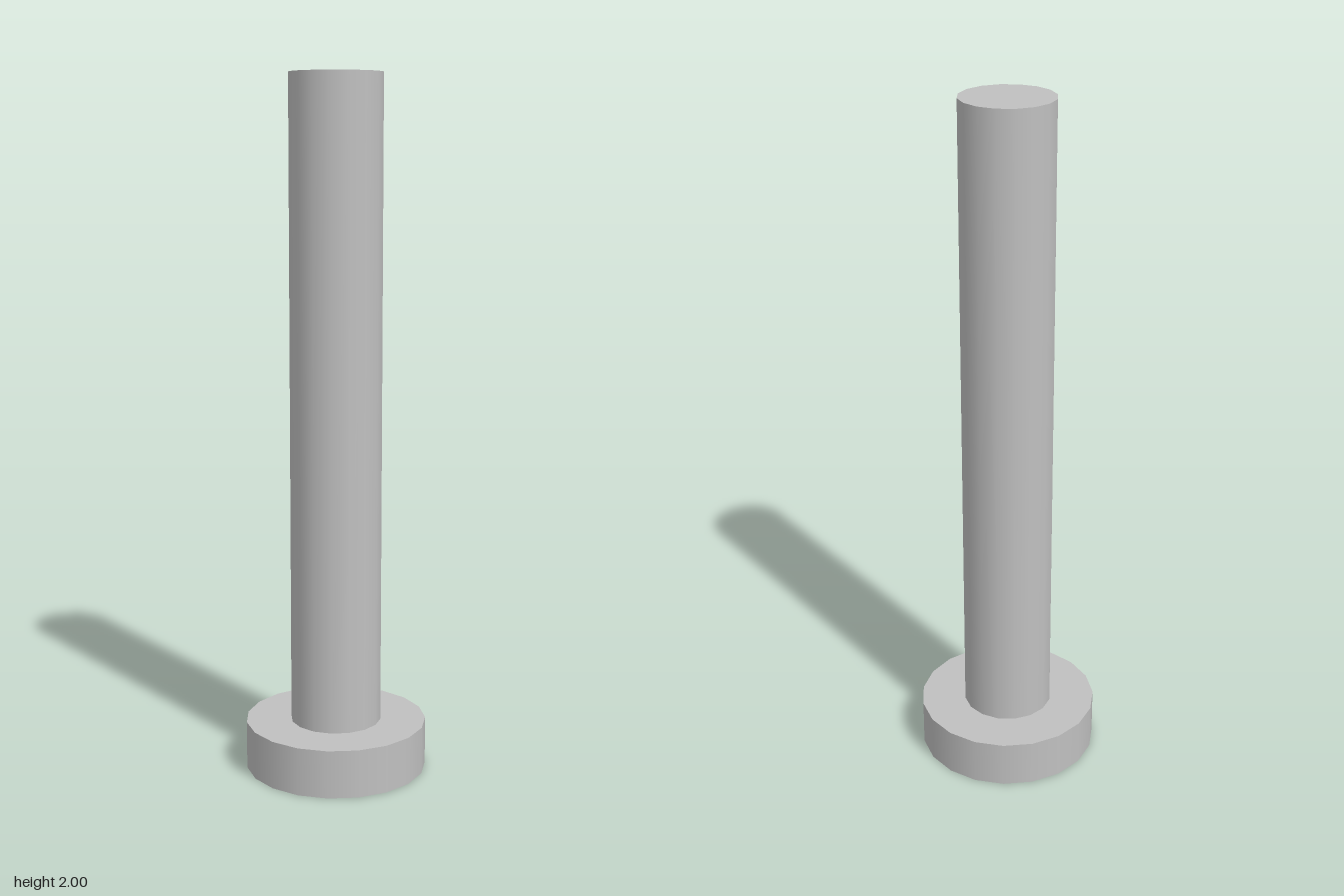
import * as THREE from 'three';

const HEAD_R = 0.264, HEAD_H = 0.14, HEAD_SIDES = 19;
const SHAFT_R = 0.132, SHAFT_SIDES = 16, TOTAL_H = 2;
const SLOT_L = 0.33, SLOT_W = 0.058, SLOT_D = 0.06;

// Regular polygon outline, first corner at the given angle
function polygon(radius, sides, start, Type = THREE.Shape) {
  const pts = [];
  for (let i = 0; i < sides; i++) {
    const a = start + (i / sides) * Math.PI * 2;
    pts.push(new THREE.Vector2(Math.cos(a) * radius, Math.sin(a) * radius));
  }
  return new Type(pts);
}

// Box seen from inside, open at the bottom
function openPocket(length, height, width) {
  const geo = new THREE.BoxGeometry(length, height, width);
  const index = Array.from(geo.index.array);
  index.splice(18, 6);
  geo.setIndex(index.reverse());
  geo.clearGroups();
  const n = geo.attributes.normal;
  for (let i = 0; i < n.count; i++) n.setXYZ(i, -n.getX(i), -n.getY(i), -n.getZ(i));
  return geo;
}

export function createModel() {
  const group = new THREE.Group();
  group.name = 'slottedScrew';
  const steel = new THREE.MeshStandardMaterial({ color: 0xc0c0c0 });
  steel.name = 'steel';

  function add(name, geometry, y, parent = group) {
    const mesh = new THREE.Mesh(geometry, steel);
    mesh.name = name;
    mesh.position.y = y;
    parent.add(mesh);
    return mesh;
  }

  // Shaft standing on the head
  const shaftH = TOTAL_H - HEAD_H;
  add('shaft', new THREE.CylinderGeometry(SHAFT_R, SHAFT_R, shaftH, SHAFT_SIDES), HEAD_H + shaftH / 2);

  // Head: rim, shoulder around the shaft, slotted underside
  const head = new THREE.Group();
  head.name = 'head';
  group.add(head);

  add('headRim', new THREE.CylinderGeometry(HEAD_R, HEAD_R, HEAD_H, HEAD_SIDES, 1, true, -Math.PI / 2), HEAD_H / 2, head);

  const shoulder = polygon(HEAD_R, HEAD_SIDES, Math.PI);
  shoulder.holes.push(polygon(SHAFT_R, SHAFT_SIDES, 0, THREE.Path));
  add('headShoulder', new THREE.ShapeGeometry(shoulder).rotateX(-Math.PI / 2), HEAD_H, head);

  const underside = polygon(HEAD_R, HEAD_SIDES, Math.PI);
  const l = SLOT_L / 2, w = SLOT_W / 2;
  underside.holes.push(new THREE.Path([
    new THREE.Vector2(-l, -w), new THREE.Vector2(-l, w),
    new THREE.Vector2(l, w), new THREE.Vector2(l, -w),
  ]));
  add('headUnderside', new THREE.ShapeGeometry(underside).rotateX(Math.PI / 2), 0, head);

  // Driver slot recessed into the underside
  add('driverSlot', openPocket(SLOT_L, SLOT_D, SLOT_W), SLOT_D / 2, head);

  return group;
}
